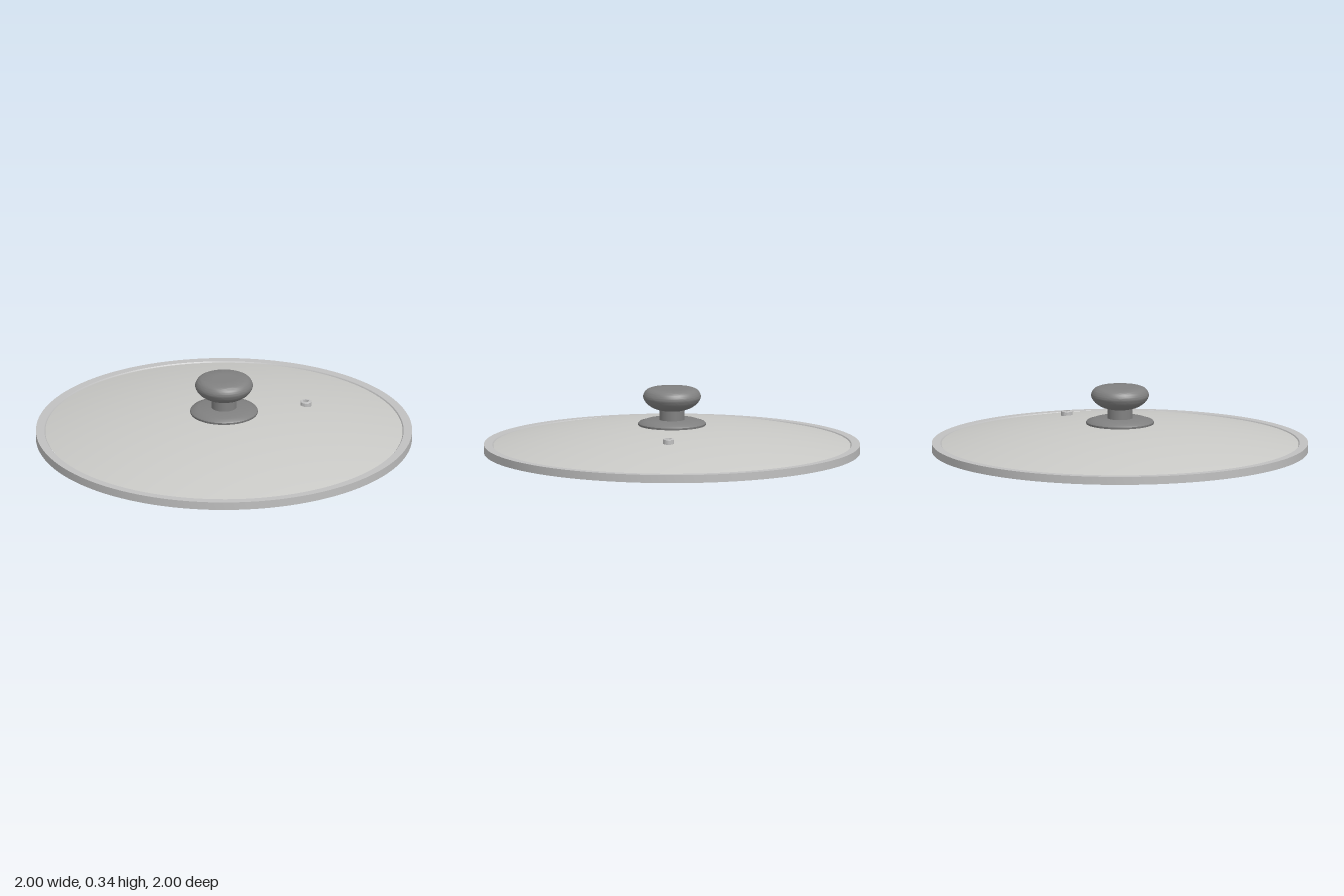
import * as THREE from 'three';
import { toCreasedNormals } from 'three/addons/utils/BufferGeometryUtils.js';
import { ParametricGeometry } from 'three/addons/geometries/ParametricGeometry.js';

const VENT = { x: 0.3, z: -0.35, hole: 0.022 };
const DOME_RADIUS = 0.95;
const THICKNESS = 0.036;

// Height of the dome's upper face at a point
const domeHeight = (x, z) => 0.152 - 0.127 * (x * x + z * z);

// Dome face spanned between the vent hole and the outer circle
function domeFace(offset, flip) {
  return new ParametricGeometry((u, v, target) => {
    const t = flip ? 1 - u : u;
    const a = v * Math.PI * 2;
    const c = Math.cos(a), s = -Math.sin(a);
    const x = THREE.MathUtils.lerp(VENT.x + VENT.hole * c, DOME_RADIUS * c, t);
    const z = THREE.MathUtils.lerp(VENT.z + VENT.hole * s, DOME_RADIUS * s, t);
    target.set(x, domeHeight(x, z) + offset, z);
  }, 28, 128);
}

function lathe(points, segments) {
  const profile = points.map(([r, y]) => new THREE.Vector2(r, y));
  return toCreasedNormals(new THREE.LatheGeometry(profile, segments), 0.6);
}

export function createModel() {
  const lid = new THREE.Group();
  lid.name = 'potLid';

  const glass = new THREE.MeshStandardMaterial({ name: 'paleGreyGlass', color: 0xc9c9c6 });
  const steel = new THREE.MeshStandardMaterial({ name: 'steelGrey', color: 0xc0c0c0 });
  const dark = new THREE.MeshStandardMaterial({ name: 'darkGrey', color: 0x808080 });

  const add = (name, geometry, material) => {
    const mesh = new THREE.Mesh(geometry, material);
    mesh.name = name;
    lid.add(mesh);
    return mesh;
  };

  // Domed glass, upper and lower faces
  add('domeTop', domeFace(0, false), glass);
  add('domeUnderside', domeFace(-THICKNESS, true), glass);

  // Flat band around the edge, with a small step down to the glass
  add('rim', lathe([
    [0.945, 0], [1, 0], [1, 0.043], [0.955, 0.043], [0.948, 0.034], [0.945, 0],
  ], 128), steel);

  // Steam vent: a short open tube through the glass
  const vent = add('steamVent', lathe([
    [0.016, 0.08], [0.03, 0.08], [0.03, 0.146], [0.027, 0.149], [0.016, 0.149], [0.016, 0.08],
  ], 32), steel);
  vent.position.set(VENT.x, 0, VENT.z);

  // Collar under the knob
  add('knobBase', lathe([
    [0, 0.14], [0.175, 0.14], [0.18, 0.15], [0.18, 0.158], [0.175, 0.164],
    [0.15, 0.172], [0.135, 0.177], [0, 0.178],
  ], 64), dark);

  add('knobStem', new THREE.CylinderGeometry(0.067, 0.067, 0.075, 48).translate(0, 0.205, 0), dark);

  // Rounded grip, smoothed through a few profile points
  const side = new THREE.SplineCurve([
    [0.067, 0.23], [0.1, 0.241], [0.135, 0.265], [0.153, 0.295], [0.15, 0.317], [0.137, 0.335], [0.118, 0.344],
  ].map(([r, y]) => new THREE.Vector2(r, y))).getPoints(24).map((p) => [p.x, p.y]);
  add('knobGrip', lathe([[0, 0.23], ...side, [0.06, 0.345], [0, 0.345]], 64), dark);

  return lid;
}
